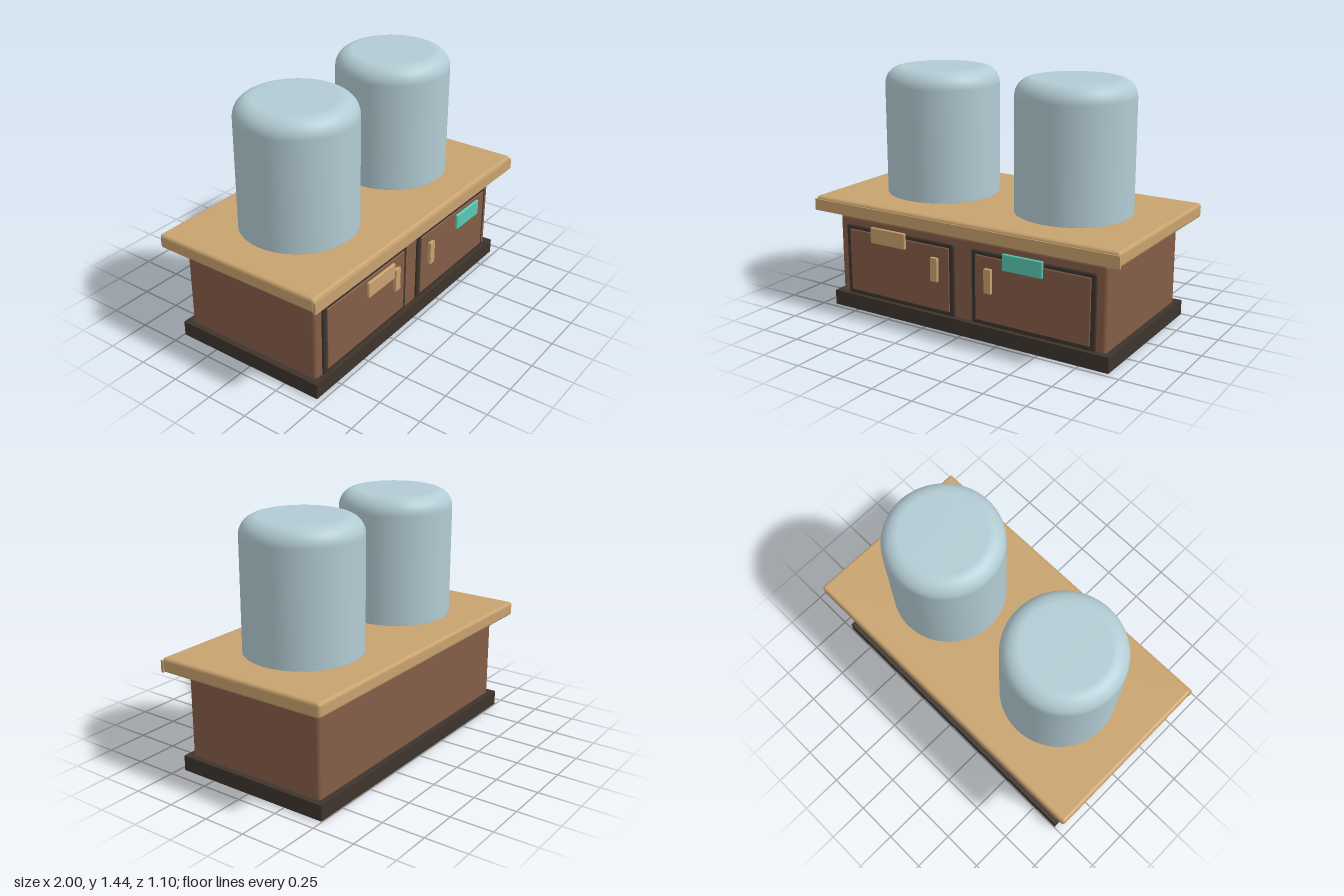
import * as THREE from 'three';
import { RoundedBoxGeometry } from 'three/addons/geometries/RoundedBoxGeometry.js';

const mat = (name, color, extra = {}) => {
  const m = new THREE.MeshStandardMaterial({ color, ...extra });
  m.name = name;
  return m;
};

export function createModel() {
  const group = new THREE.Group();
  const wood = mat('brown wood', 0x845d47);
  const dark = mat('dark wood', 0x3d342c);
  const tan = mat('tan wood', 0xc8a26e);
  const teal = mat('teal', 0x58c8b4);
  const glass = mat('pale blue glass', 0xb2cbd3, { side: THREE.DoubleSide });

  // Box given by its limits, with optional rounded edges
  const box = (name, material, [x0, x1], [y0, y1], [z0, z1], r = 0) => {
    const size = [x1 - x0, y1 - y0, z1 - z0];
    const geo = r ? new RoundedBoxGeometry(...size, 3, r) : new THREE.BoxGeometry(...size);
    const mesh = new THREE.Mesh(geo, material);
    mesh.name = name;
    mesh.position.set((x0 + x1) / 2, (y0 + y1) / 2, (z0 + z1) / 2);
    group.add(mesh);
  };

  // Plinth, cabinet body, counter and its front lip
  box('plinth', dark, [-0.925, 0.925], [0, 0.09], [-0.495, 0.47]);
  box('cabinet', wood, [-0.89, 0.89], [0.003, 0.572], [-0.457, 0.435], 0.02);
  box('counter', tan, [-1, 1], [0.602, 0.688], [-0.548, 0.522], 0.02);
  box('counterLip', tan, [-1, 1], [0.602, 0.67], [0.515, 0.53]);

  // Mirrored doors, handles, tags and jars
  for (const s of [-1, 1]) {
    const side = s < 0 ? 'right' : 'left';
    const span = (a, b) => (s > 0 ? [a, b] : [-b, -a]);
    box(side + 'DoorFrame', dark, span(0.06, 0.833), [0.09, 0.52], [0.425, 0.449], 0.008);
    box(side + 'DoorPanel', wood, span(0.088, 0.805), [0.115, 0.497], [0.435, 0.455], 0.006);
    box(side + 'Handle', tan, span(0.158, 0.203), [0.29, 0.43], [0.45, 0.475]);
    box(side + 'Tag', s < 0 ? tan : teal, span(0.323, 0.57), [0.472, 0.568], [0.531, 0.549], 0.007);

    // Jar profile: straight wall, rounded shoulder, flat top
    const R = 0.338, top = 1.44, r = 0.1;
    const profile = [new THREE.Vector2(0, 0.685), new THREE.Vector2(R, 0.685), new THREE.Vector2(R, 0.69)];
    for (let i = 0; i <= 8; i++) {
      const a = (i / 8) * Math.PI / 2;
      profile.push(new THREE.Vector2(R - r + r * Math.cos(a), top - r + r * Math.sin(a)));
    }
    profile.push(new THREE.Vector2(0, top));
    const jar = new THREE.Mesh(new THREE.LatheGeometry(profile, 64), glass);
    jar.name = side + 'Jar';
    jar.position.set(s * 0.447, 0, -0.015);
    group.add(jar);
  }
  return group;
}
